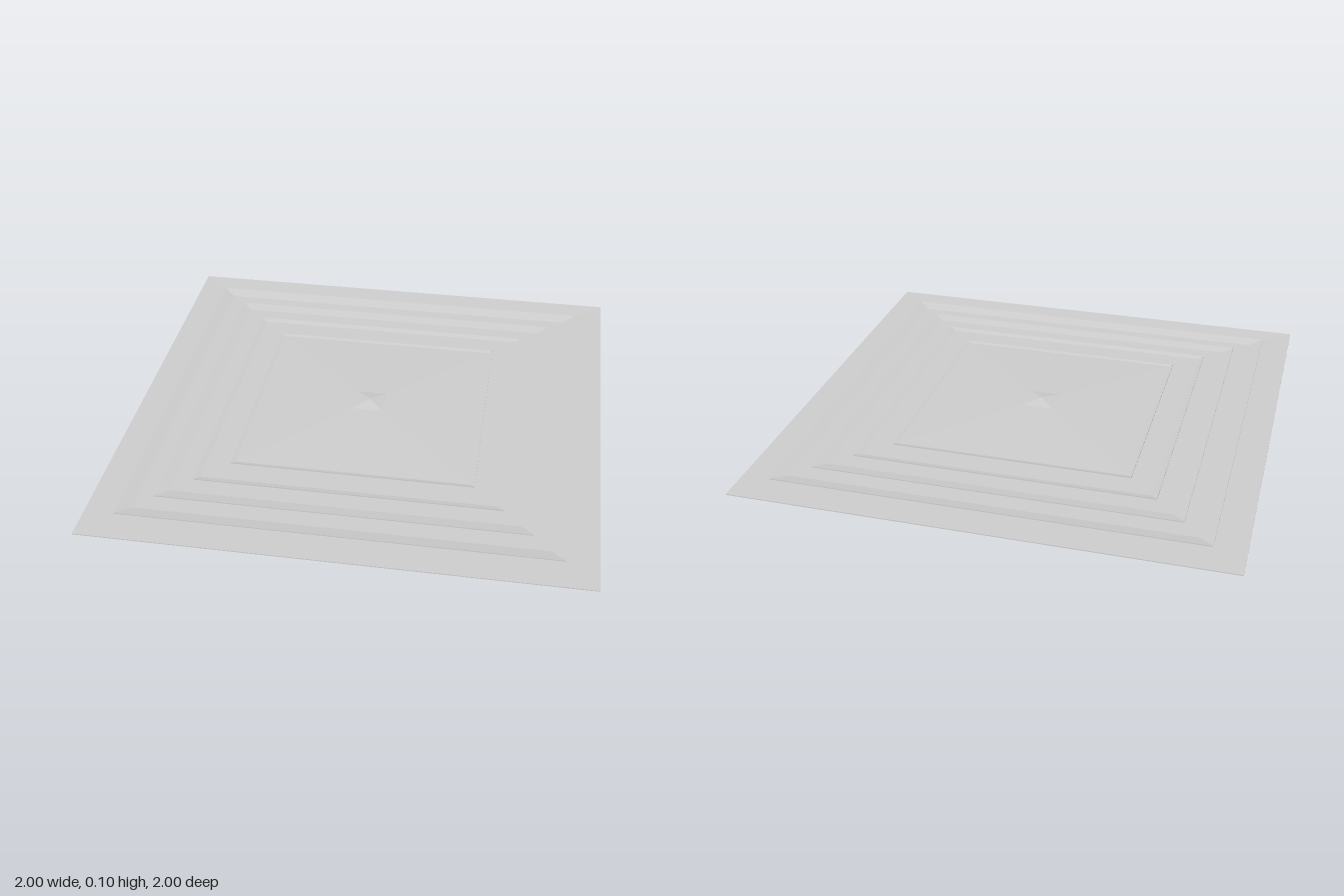
import * as THREE from 'three';

const material = new THREE.MeshStandardMaterial({ color: 0xcccccc, flatShading: true, side: THREE.DoubleSide });

// Square solid swept from [half width, height] pairs, bottom to top
function squareSolid(name, profile) {
  const points = profile.map(([half, y]) => new THREE.Vector2(half * Math.SQRT2, y));
  const mesh = new THREE.Mesh(new THREE.LatheGeometry(points, 4, Math.PI / 4), material);
  mesh.name = name;
  return mesh;
}

export function createModel() {
  const group = new THREE.Group();
  group.name = 'steppedSquarePlate';

  // Base with slanted sides
  group.add(squareSolid('base', [[0, 0], [0.75, 0], [1, 0.063], [1, 0.067], [0.9, 0.066], [0, 0.066]]));

  // Nested trays with raised, overhanging lips: rim, inner edge of the lip, floor height
  const trays = [
    [0.875, 0.82, 0.07],
    [0.75, 0.70, 0.073],
    [0.625, 0.60, 0.0755],
    [0.5, 0.485, 0.0775],
  ];
  trays.forEach(([rim, inner, floor], i) => {
    group.add(squareSolid('tray' + (i + 1), [
      [inner, floor - 0.004], [rim, 0.077], [rim, 0.081], [inner, floor], [0, floor],
    ]));
  });

  // Shallow pyramid with a steeper tip
  group.add(squareSolid('centrePyramid', [[0.485, 0.0775], [0.4, 0.08], [0.065, 0.093], [0, 0.105]]));

  return group;
}
